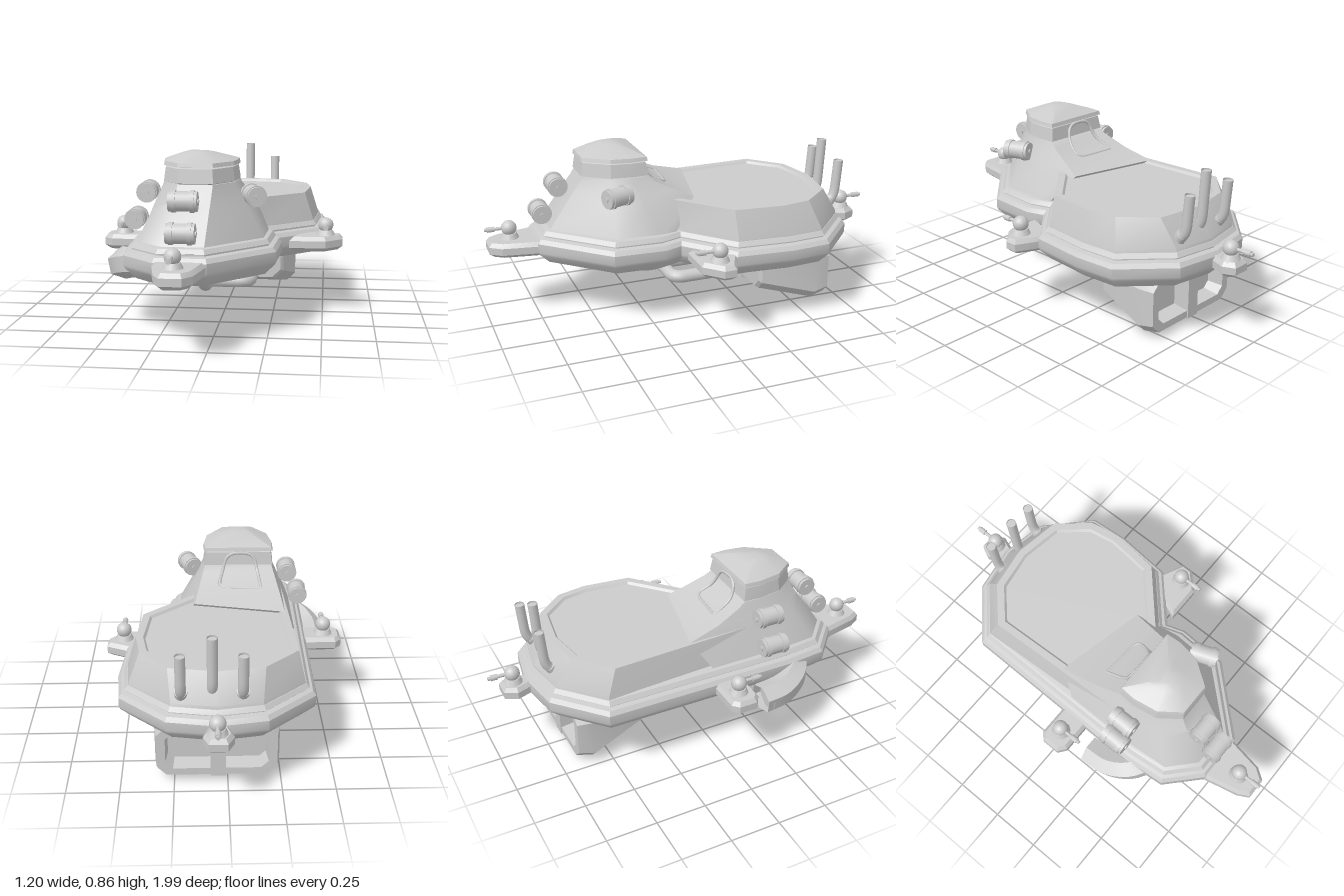
import * as THREE from 'three';
import { toCreasedNormals } from 'three/addons/utils/BufferGeometryUtils.js';

const grey = new THREE.MeshStandardMaterial({ color: 0xcccccc });
const greyBoth = new THREE.MeshStandardMaterial({ color: 0xcccccc, side: THREE.DoubleSide });
const V = (x, y, z) => new THREE.Vector3(x, y, z);

function add(parent, name, geometry, pos = [0, 0, 0], material = grey) {
  const mesh = new THREE.Mesh(geometry, material);
  mesh.name = name;
  mesh.position.set(...pos);
  parent.add(mesh);
  return mesh;
}

// Moves every edge of an [x, z] outline inward by d
function inset(pts, d) {
  const n = pts.length;
  const normal = (a, b) => {
    const l = Math.hypot(b[0] - a[0], b[1] - a[1]);
    return [-(b[1] - a[1]) / l, (b[0] - a[0]) / l];
  };
  return pts.map((p, i) => {
    const u = normal(pts[(i + n - 1) % n], p), v = normal(p, pts[(i + 1) % n]);
    const k = d / (1 + u[0] * v[0] + u[1] * v[1]);
    return [p[0] + (u[0] + v[0]) * k, p[1] + (u[1] + v[1]) * k];
  });
}

// Skins [height, outline] rings from bottom to top and caps both ends
function loft(rings, crease = 0.45) {
  const pos = [];
  const tri = (...ps) => ps.forEach(([y, p]) => pos.push(p[0], y, p[1]));
  for (let r = 0; r + 1 < rings.length; r++) {
    const [y0, lo] = rings[r], [y1, hi] = rings[r + 1];
    lo.forEach((p, i) => {
      const j = (i + 1) % lo.length;
      tri([y0, p], [y1, hi[i]], [y0, lo[j]]);
      tri([y0, lo[j]], [y1, hi[i]], [y1, hi[j]]);
    });
  }
  for (const [ring, up] of [[rings[0], false], [rings[rings.length - 1], true]]) {
    const [y, pts] = ring;
    const flat = pts.map(p => new THREE.Vector2(...p));
    for (const [a, b, c] of THREE.ShapeUtils.triangulateShape(flat, [])) {
      const A = pts[a], B = pts[b], C = pts[c];
      const facesUp = (B[1] - A[1]) * (C[0] - A[0]) - (B[0] - A[0]) * (C[1] - A[1]) > 0;
      if (facesUp === up) tri([y, A], [y, B], [y, C]);
      else tri([y, A], [y, C], [y, B]);
    }
  }
  const g = new THREE.BufferGeometry();
  g.setAttribute('position', new THREE.Float32BufferAttribute(pos, 3));
  return toCreasedNormals(g, crease);
}

const insetLoft = (pts, steps) => loft(steps.map(([y, d]) => [y, inset(pts, d)]));

// Pipe through points with rounded corners
function pipe(points, radius, sides = 12) {
  const path = new THREE.CurvePath();
  let from = points[0];
  for (let i = 1; i < points.length - 1; i++) {
    const p = points[i], cut = 0.06;
    const a = p.clone().add(points[i - 1].clone().sub(p).setLength(Math.min(cut, p.distanceTo(points[i - 1]) * 0.45)));
    const b = p.clone().add(points[i + 1].clone().sub(p).setLength(Math.min(cut, p.distanceTo(points[i + 1]) * 0.45)));
    path.add(new THREE.LineCurve3(from, a));
    path.add(new THREE.QuadraticBezierCurve3(a, p, b));
    from = b;
  }
  path.add(new THREE.LineCurve3(from, points[points.length - 1]));
  return new THREE.TubeGeometry(path, 60, radius, sides);
}

export function createModel() {
  const model = new THREE.Group();
  model.name = 'hovercraft';

  // Hull rim
  const outline = [[.515, -.37], [.49, -.09], [.27, .11], [.30, .2], [.285, .45], [0, .75], [-.24, .75],
    [-.4, .6], [-.42, .4], [-.41, -.57], [-.18, -.78], [.05, -.82], [.28, -.78], [.5, -.57]];
  add(model, 'hullRim', insetLoft(outline,
    [[.29, .055], [.34, .006], [.355, 0], [.4, 0], [.42, .015], [.425, .04], [.432, .04], [.435, .03], [.455, .045], [.46, .06]]));

  // Rear deck with a shallow sunken floor
  const deckBase = [[.515, -.37], [.49, -.09], [.27, .11], [0, .3], [-.37, .2], [-.41, -.57], [-.18, -.78],
    [.05, -.82], [.28, -.78], [.5, -.57]];
  const deckTop = [[.425, -.35], [.4, -.11], [.19, .08], [0, .25], [-.3, .2], [-.33, -.5], [-.17, -.65],
    [.04, -.685], [.27, -.65], [.4, -.5]];
  add(model, 'rearDeck', loft([[.44, inset(deckBase, .045)], [.47, inset(deckBase, .05)], [.6, deckTop],
    [.6, inset(deckTop, .035)], [.588, inset(deckTop, .045)]]));

  // Front cone, sweeping down to the deck behind
  const coneBase = [[.22, .12], [.24, .2], [.23, .42], [-.02, .69], [-.22, .69], [-.345, .575], [-.36, .4], [-.36, 0]];
  const coneTop = [[.095, .22], [.1, .3], [.085, .4], [0, .52], [-.16, .52], [-.235, .42], [-.255, .3], [-.25, .22]];
  const coneRing = (t, rightZ, leftZ) => coneBase.map((p, i) => {
    const x = p[0] + (coneTop[i][0] - p[0]) * t, z = p[1] + (coneTop[i][1] - p[1]) * t;
    return [x, i === 0 ? rightZ : i === 7 ? leftZ : z];
  });
  add(model, 'cone', loft([[.45, coneRing(0, .12, 0)], [.6, coneRing(.57, .0, -.1)],
    [.64, coneRing(.73, .09, .06)], [.69, coneRing(.92, .19, .18)], [.715, coneTop]], .7));

  // Cockpit collar and faceted roof
  add(model, 'cockpitCollar', insetLoft(coneTop,
    [[.7, .012], [.715, .012], [.72, -.004], [.785, .006], [.79, .016], [.81, .016]]));
  const roofTop = coneTop.map(([x, z]) => [x + (-.09 - x) * .6, z + (.37 - z) * .6]);
  add(model, 'cockpitRoof', loft([[.793, inset(coneTop, -.003)], [.812, inset(coneTop, .002)],
    [.848, roofTop], [.857, roofTop.map(([x, z]) => [x + (-.09 - x) * .5, z + (.37 - z) * .5])]]));

  // Frame around the rear window
  const frame = [V(-.19, .645, .085), V(.03, .645, .1), V(.005, .695, .187), V(-.02, .785, .216),
    V(-.155, .785, .216), V(-.175, .695, .187), V(-.19, .645, .085)];
  add(model, 'rearWindowFrame', pipe(frame, .008, 6));

  // Outrigger pads, each with a ball turret
  const pads = [
    ['front', [[0, .72], [-.035, .92], [-.075, .975], [-.175, .975], [-.205, .92], [-.25, .72]], [-.13, .865], 1],
    ['right', [[-.38, -.02], [-.38, .13], [-.56, .13], [-.6, .1], [-.6, .01], [-.57, -.02]], [-.51, .05], 1],
    ['left', [[.595, -.04], [.595, .02], [.51, .1], [.33, .1], [.4, -.1], [.47, -.1]], [.51, .01], 1],
    ['rear', [[.115, -.88], [.08, -.78], [.01, -.78], [-.025, -.88], [.005, -.94], [.09, -.94]], [.05, -.88], -1],
  ];
  for (const [side, pts, [x, z], dir] of pads) {
    add(model, side + 'Pad', insetLoft(pts, [[.33, .025], [.35, 0], [.385, 0], [.405, .015]]));
    const turret = new THREE.Group();
    turret.name = side + 'Turret';
    turret.position.set(x, .4, z);
    turret.rotation.y = dir > 0 ? 0 : Math.PI;
    model.add(turret);
    add(turret, 'turretBase', new THREE.CylinderGeometry(.035, .05, .03, 10), [0, .015, 0]);
    add(turret, 'turretBall', new THREE.SphereGeometry(.038, 16, 12), [0, .055, 0]);
    add(turret, 'barrel', new THREE.CylinderGeometry(.009, .009, .1, 8).rotateX(Math.PI / 2), [0, .057, .07]);
    add(turret, 'muzzle', new THREE.CylinderGeometry(.014, .014, .035, 8).rotateX(Math.PI / 2), [0, .057, .09]);
  }

  // Drums strapped around the cone; the last number turns the axis away from x
  const drums = [[-.12, .655, .625, 0], [-.12, .525, .71, 0], [-.335, .655, .305, Math.PI / 2],
    [-.395, .525, .305, Math.PI / 2], [.175, .655, .395, Math.PI / 2 + .36]];
  for (const [x, y, z, turn] of drums) {
    const drum = new THREE.Group();
    drum.name = 'drum';
    drum.position.set(x, y, z);
    drum.rotation.y = turn;
    model.add(drum);
    const tube = (r, l) => new THREE.CylinderGeometry(r, r, l, 18).rotateZ(Math.PI / 2);
    add(drum, 'drumBody', tube(.045, .13));
    for (const s of [-1, 1]) {
      add(drum, 'drumBand', tube(.05, .02), [s * .042, 0, 0]);
      add(drum, 'drumCap', tube(.012, .01), [s * .066, 0, 0]);
    }
  }

  // Exhaust stacks at the stern
  for (const [x, z, top] of [[-.065, -.763, .72], [.07, -.74, .795], [.21, -.763, .72]]) {
    add(model, 'exhaustStack', pipe([V(x, .5, z + .06), V(x, .53, z + .015), V(x, top, z)], .024), [0, 0, 0], greyBoth);
    add(model, 'stackPlug', new THREE.CylinderGeometry(.022, .022, .01, 12), [x, top - .012, z]);
    add(model, 'stackFoot', new THREE.CylinderGeometry(.03, .03, .03, 12).rotateX(-.6), [x, .51, z + .045]);
  }

  // Curved side duct
  const duct = new THREE.CatmullRomCurve3([V(-.31, .35, .48), V(-.41, .33, .42), V(-.465, .3, .32), V(-.475, .29, .2)]);
  add(model, 'sideDuct', toCreasedNormals(new THREE.TubeGeometry(duct, 14, .075, 6), .6), [0, 0, 0], greyBoth);
  add(model, 'ductPlug', new THREE.CircleGeometry(.07, 12), [-.474, .29, .24], greyBoth);

  // Engine pod under the stern, with a recessed back
  const octagon = (x0, x1, y0, y1, c) => [[x1, -y1 + c], [x1, -y0 - c], [x1 - c, -y0], [x0 + c, -y0],
    [x0, -y0 - c], [x0, -y1 + c], [x0 + c, -y1], [x1 - c, -y1]];
  add(model, 'enginePod', loft([
    [-.59, octagon(-.18, .28, .085, .26, .03)], [-.67, octagon(-.19, .29, .075, .27, .035)],
    [-.67, octagon(-.23, .33, .04, .3, .045)], [-.59, octagon(-.245, .34, .025, .3, .045)],
    [-.32, octagon(-.19, .285, .095, .275, .045)], [-.305, octagon(-.175, .27, .105, .26, .045)],
  ]).rotateX(Math.PI / 2));
  const keel = new THREE.Shape([[-.295, .3], [-.295, .09], [-.59, .002], [-.675, .035], [-.675, .3]]
    .map(p => new THREE.Vector2(...p)));
  add(model, 'podKeel', new THREE.ExtrudeGeometry(keel, { depth: .07, bevelEnabled: false }).rotateY(-Math.PI / 2), [.08, 0, 0]);

  // Feed pipes from the hull to the pod
  add(model, 'mainPipe', pipe([V(-.075, .31, .35), V(-.075, .25, .32), V(-.075, .175, .22), V(-.075, .175, -.32)], .034));
  add(model, 'branchPipe', pipe([V(-.075, .175, .1), V(.135, .175, .1), V(.135, .175, -.32)], .032));
  add(model, 'pipeFlange', new THREE.CylinderGeometry(.045, .045, .04, 14), [-.075, .28, .34]);

  return model;
}
